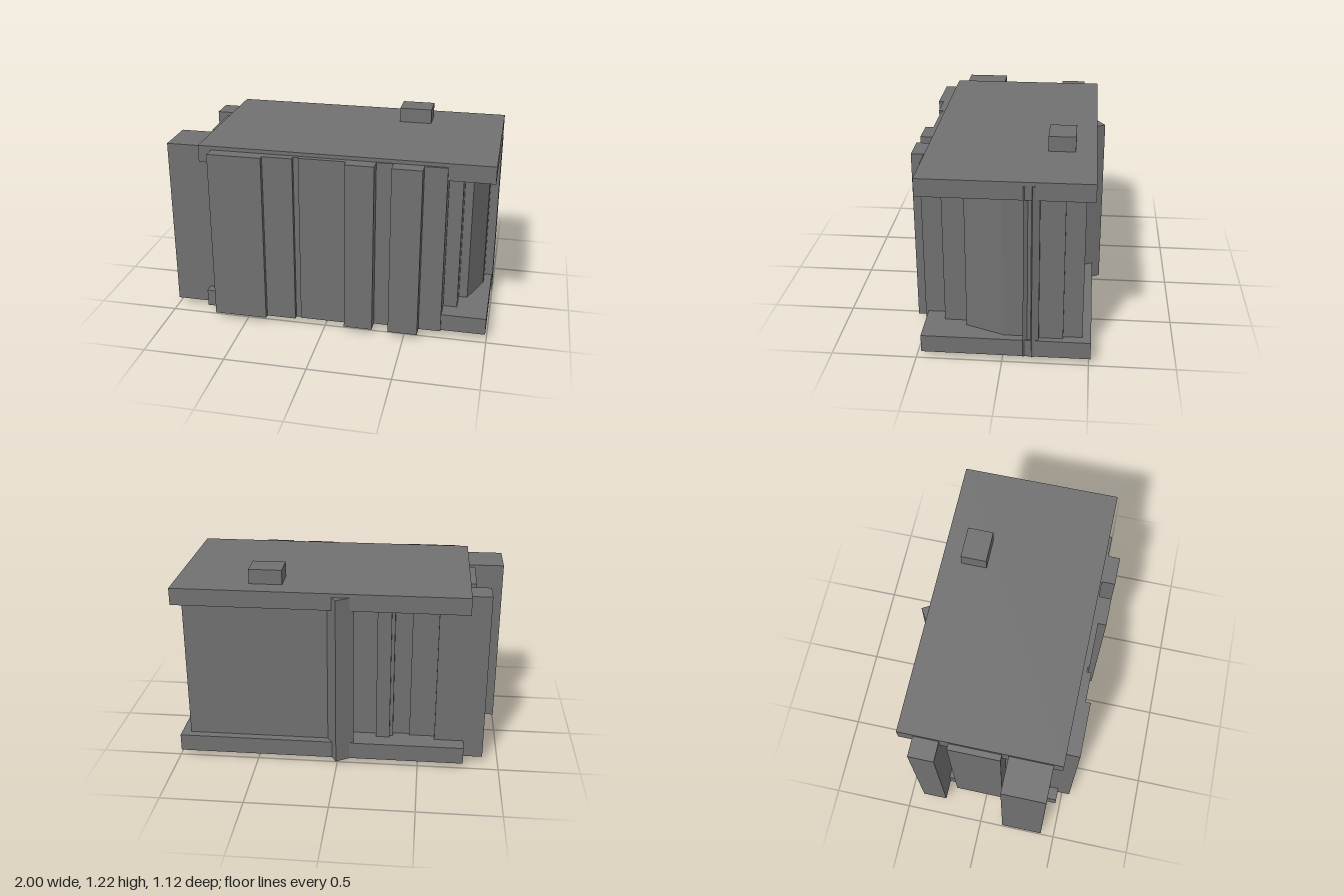
import * as THREE from 'three';

export function createModel() {
  const model = new THREE.Group();
  const material = new THREE.MeshStandardMaterial({ color: 0x707070 });

  // Box given by its limits on each axis
  function block(name, [x0, x1], [y0, y1], [z0, z1]) {
    const mesh = new THREE.Mesh(new THREE.BoxGeometry(x1 - x0, y1 - y0, z1 - z0), material);
    mesh.name = name;
    mesh.position.set((x0 + x1) / 2, (y0 + y1) / 2, (z0 + z1) / 2);
    model.add(mesh);
  }

  // Upright prism over a footprint of [x, z] corners
  function prism(name, corners, [y0, y1]) {
    const shape = new THREE.Shape(corners.map(([x, z]) => new THREE.Vector2(x, -z)));
    const geometry = new THREE.ExtrudeGeometry(shape, { depth: y1 - y0, bevelEnabled: false });
    geometry.rotateX(-Math.PI / 2);
    const mesh = new THREE.Mesh(geometry, material);
    mesh.name = name;
    mesh.position.y = y0;
    model.add(mesh);
  }

  const wall = [0.037, 1.107];

  // Floor and roof slabs with their small blocks
  block('floorSlab', [-0.78, 0.992], [0.038, 0.145], [-0.51, 0.47]);
  block('roofSlab', [-0.78, 0.992], [1.025, 1.13], [-0.51, 0.47]);
  block('roofBlock', [0.337, 0.537], [1.1, 1.22], [-0.388, -0.23]);
  block('footBlock', [0.337, 0.537], [0, 0.1], [-0.423, -0.295]);

  // Solid core behind the wall panels
  block('core', [-0.7, 0.715], [0.1, 1.06], [-0.35, 0.42]);

  // Front panels: x start, x end, front z
  [
    [-0.70, -0.37, 0.55], [-0.37, -0.187, 0.52], [-0.187, -0.155, 0.493], [-0.155, 0.13, 0.503],
    [0.13, 0.305, 0.553], [0.305, 0.405, 0.478], [0.405, 0.585, 0.558], [0.585, 0.72, 0.485],
  ].forEach(([x0, x1, z]) => block('frontPanel', [x0, x1], wall, [0.3, z]));

  // Panels on the -x side: z start, z end, outer x
  [[0.15, 0.413, -1], [-0.205, 0.11, -0.817], [-0.415, -0.26, -0.903]]
    .forEach(([z0, z1, x]) => block('rightPanel', [x, -0.6], wall, [z0, z1]));

  // Panels on the +x side: z start, z end, outer x
  [[0.22, 0.355, 0.805], [-0.12, -0.005, 0.945], [-0.35, -0.12, 0.957]]
    .forEach(([z0, z1, x]) => block('leftPanel', [0.7, x], wall, [z0, z1]));
  prism('leftSlantedPanel', [[0.7, 0.22], [0.857, 0.22], [0.942, -0.005], [0.7, -0.005]], wall);

  // Thin rib with two sharp edges
  prism('leftRib', [
    [0.94, -0.121], [0.998, -0.121], [0.98, -0.145], [0.98, -0.165],
    [1, -0.171], [0.98, -0.211], [0.94, -0.211],
  ], wall);

  // Back: broad wall, turned post, and recessed panels
  block('backWall', [-0.02, 0.935], wall, [-0.46, -0.3]);
  prism('backPost', [[0.003, -0.558], [0.063, -0.46], [-0.037, -0.4], [-0.1, -0.495]], wall);
  [
    [-0.235, -0.02, -0.37], [-0.32, -0.235, -0.412], [-0.34, -0.32, -0.39],
    [-0.443, -0.34, -0.355], [-0.607, -0.443, -0.372], [-0.69, -0.607, -0.388],
  ].forEach(([x0, x1, z]) => block('backPanel', [x0, x1], wall, [z, -0.3]));

  return model;
}
